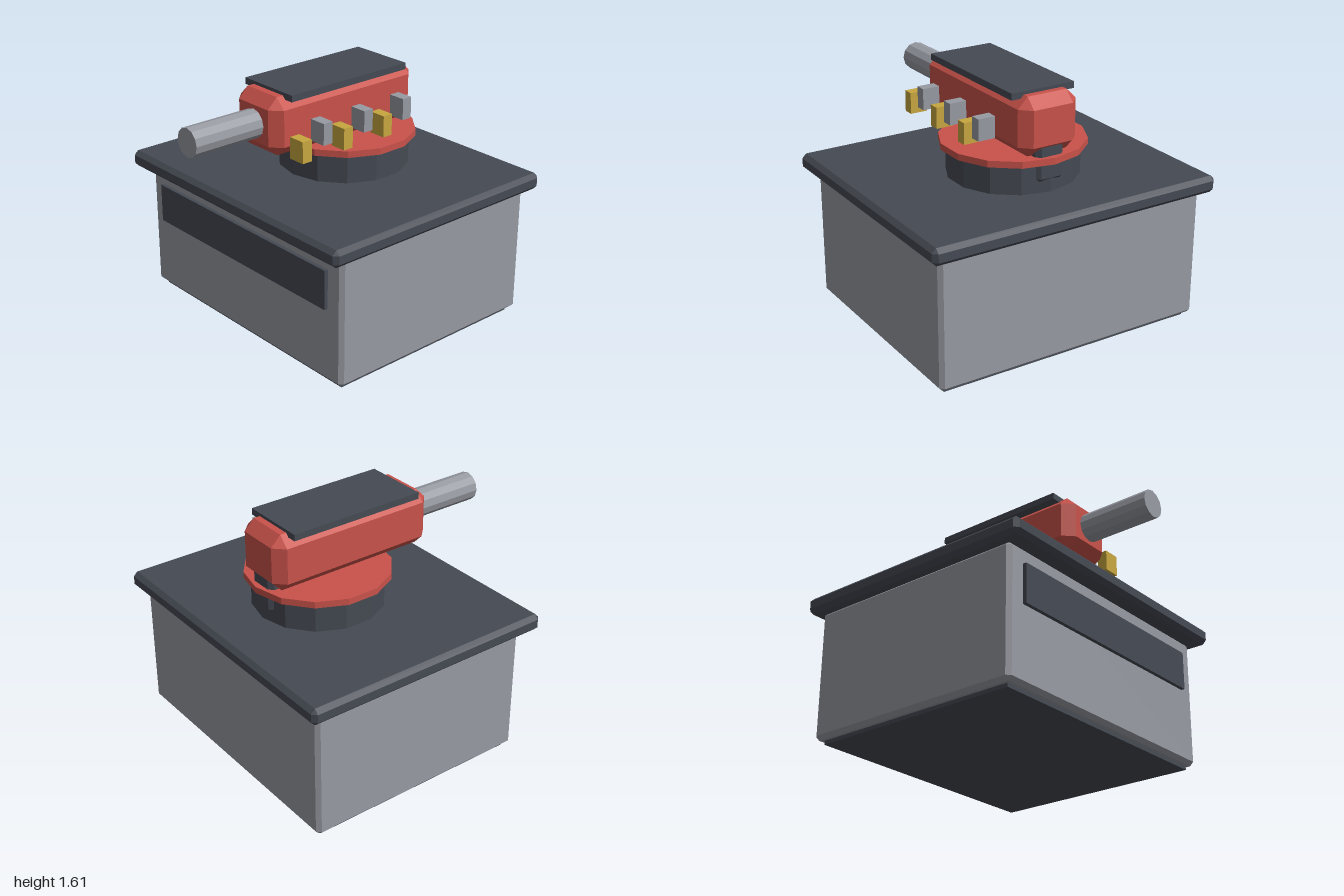
import * as THREE from 'three';
import { ConvexGeometry } from 'three/addons/geometries/ConvexGeometry.js';

const paint = (name, color) => {
  const m = new THREE.MeshStandardMaterial({ color, flatShading: true });
  m.name = name;
  return m;
};

// Box with every edge cut at 45 degrees; three corner points per corner
function chamferBox(w, h, d, c) {
  const points = [];
  for (const sx of [-1, 1]) for (const sy of [-1, 1]) for (const sz of [-1, 1]) {
    const x = w / 2, y = h / 2, z = d / 2;
    points.push(
      new THREE.Vector3(sx * x, sy * (y - c), sz * (z - c)),
      new THREE.Vector3(sx * (x - c), sy * y, sz * (z - c)),
      new THREE.Vector3(sx * (x - c), sy * (y - c), sz * z));
  }
  return new ConvexGeometry(points);
}

export function createModel() {
  const model = new THREE.Group();
  model.name = 'turretBunker';
  const gray = paint('concreteGray', 0x979aa2);
  const dark = paint('darkSteel', 0x454a53);
  const red = paint('turretRed', 0xc9524a);
  const brass = paint('brassYellow', 0xc8a640);

  const add = (name, geometry, material, x, y, z) => {
    const mesh = new THREE.Mesh(geometry, material);
    mesh.name = name;
    mesh.position.set(x, y, z);
    model.add(mesh);
    return mesh;
  };

  // Box given by its extents, optionally chamfered
  const block = (name, material, [x0, x1], [y0, y1], [z0, z1], c = 0) => {
    const size = [x1 - x0, y1 - y0, z1 - z0];
    const geometry = c ? chamferBox(...size, c) : new THREE.BoxGeometry(...size);
    return add(name, geometry, material, (x0 + x1) / 2, (y0 + y1) / 2, (z0 + z1) / 2);
  };

  // Bunker
  block('foot', dark, [-0.885, 0.885], [0, 0.06], [-0.87, 0.575]);
  block('bunkerWalls', gray, [-0.93, 0.93], [0.025, 0.88], [-0.92, 0.62], 0.025);
  block('roofSlab', dark, [-1, 1], [0.87, 0.98], [-0.99, 0.73], 0.028);
  block('frontPanel', dark, [-0.81, 0.81], [0.515, 0.77], [0.6, 0.645]);

  // Rotating mount
  const mountZ = -0.225;
  add('turretRing', new THREE.CylinderGeometry(0.42, 0.42, 0.2, 14), dark, 0, 1.07, mountZ);
  add('turntable', new THREE.CylinderGeometry(0.463, 0.463, 0.042, 14), red, 0, 1.188, mountZ);
  block('rearHatch', dark, [-0.1, 0.1], [1.04, 1.32], [-0.648, -0.55], 0.03);

  // Gun
  block('gunBody', red, [-0.205, 0.205], [1.215, 1.585], [-0.66, 0.5], 0.068);
  block('topCover', dark, [-0.22, 0.22], [1.563, 1.605], [-0.55, 0.385]);
  const barrel = add('barrel', new THREE.CylinderGeometry(0.093, 0.093, 0.55, 12), gray, 0, 1.4, 0.715);
  barrel.rotation.x = Math.PI / 2;

  // Ammunition belt, alternating links and rounds
  for (let i = 0; i < 6; i++) {
    const z = -0.41 + i * 0.163;
    const isRound = i % 2 === 1;
    const y = isRound ? 1.305 : 1.378;
    block(isRound ? 'beltRound' : 'beltLink', isRound ? brass : gray,
      [0.267, 0.382], [y - 0.069, y + 0.069], [z - 0.035, z + 0.035]);
  }
  return model;
}
